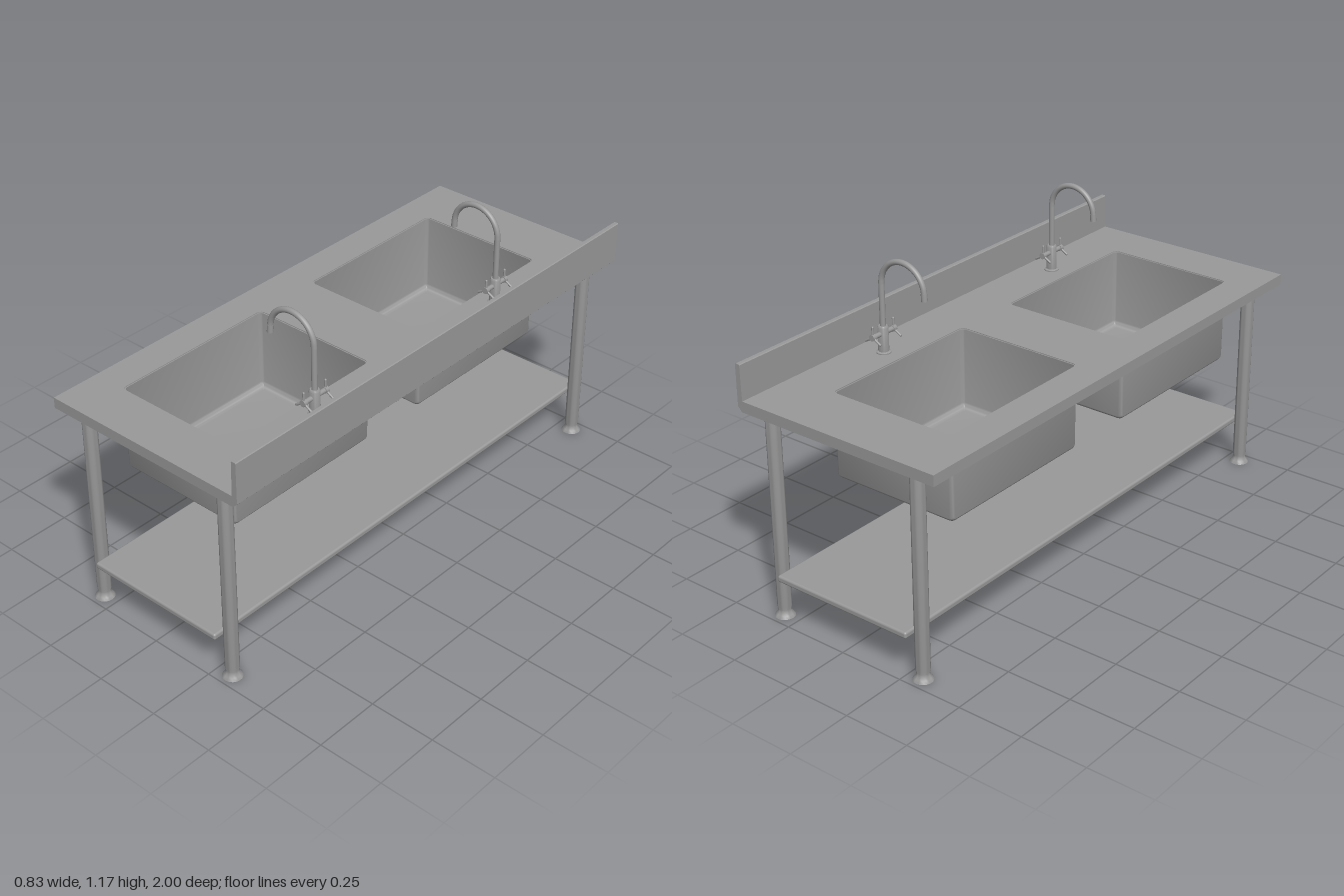
import * as THREE from 'three';
import { toCreasedNormals } from 'three/addons/utils/BufferGeometryUtils.js';
import { RoundedBoxGeometry } from 'three/addons/geometries/RoundedBoxGeometry.js';

// Dark steel
const steel = new THREE.MeshStandardMaterial({ color: 0x999999 });

const TOP = 0.804, UNDER = 0.764;
const BASIN = { x: -0.038, w: 0.51, d: 0.666, bottom: 0.486, r: 0.022, wall: 0.007 };
const BASIN_Z = [0.485, -0.438];
const FAUCET_Z = [0.51, -0.433];

function add(parent, name, geometry, x = 0, y = 0, z = 0) {
  const mesh = new THREE.Mesh(geometry, steel);
  mesh.name = name;
  mesh.position.set(x, y, z);
  parent.add(mesh);
  return mesh;
}

const lathe = (points, sides = 24) => toCreasedNormals(
  new THREE.LatheGeometry(points.map(([r, y]) => new THREE.Vector2(r, y)), sides), 0.6);

// Outline of a rounded rectangle, shrunk by inset
function roundedRect(w, d, r, inset, steps = 5) {
  const hw = w / 2 - inset, hd = d / 2 - inset, rad = Math.max(r - inset, 0.003);
  const corners = [[1, 1], [-1, 1], [-1, -1], [1, -1]];
  const points = [];
  corners.forEach(([sx, sy], c) => {
    for (let i = 0; i <= steps; i++) {
      const a = (c + i / steps) * Math.PI / 2;
      points.push(new THREE.Vector2(
        sx * (hw - rad) + rad * Math.cos(a), sy * (hd - rad) + rad * Math.sin(a)));
    }
  });
  return points;
}

// Hollow basin: sections run from outer floor, up over the rim, to inner floor
function basinGeometry() {
  const { w, d, bottom, r, wall } = BASIN;
  const sections = [];
  for (let i = 0; i <= 5; i++) {
    const a = i / 5 * Math.PI / 2;
    sections.push([r * (1 - Math.sin(a)), bottom + r * (1 - Math.cos(a))]);
  }
  const inner = sections.map(([inset, y]) => [inset + wall, y + wall]).reverse();
  sections.push([0, TOP - 0.003], [wall, TOP - 0.003], ...inner);

  const rings = sections.map(([inset, y]) =>
    roundedRect(w, d, r, inset).map(p => [p.x, y, p.y]));
  const n = rings[0].length;
  const position = rings.flat(2), index = [];
  for (let i = 0; i < rings.length - 1; i++) {
    for (let j = 0; j < n; j++) {
      const k = (j + 1) % n, a = i * n, b = a + n;
      index.push(a + j, b + j, b + k, a + j, b + k, a + k);
    }
  }
  // Floor caps
  const first = rings.length * n, last = (rings.length - 1) * n;
  position.push(0, bottom, 0, 0, bottom + wall, 0);
  for (let j = 0; j < n; j++) {
    const k = (j + 1) % n;
    index.push(first, j, k, first + 1, last + k, last + j);
  }
  const geometry = new THREE.BufferGeometry();
  geometry.setAttribute('position', new THREE.Float32BufferAttribute(position, 3));
  geometry.setIndex(index);
  return toCreasedNormals(geometry, 0.7);
}

// Worktop slab with two rounded openings
function worktopGeometry() {
  const shape = new THREE.Shape();
  shape.moveTo(-0.417, -1).lineTo(0.4, -1).lineTo(0.4, 1).lineTo(-0.417, 1).closePath();
  for (const z of BASIN_Z) {
    const points = roundedRect(BASIN.w, BASIN.d, BASIN.r, 0.003)
      .map(p => new THREE.Vector2(p.x + BASIN.x, p.y - z));
    shape.holes.push(new THREE.Path(points.reverse()));
  }
  const geometry = new THREE.ExtrudeGeometry(shape, { depth: TOP - UNDER, bevelEnabled: false });
  return geometry.rotateX(-Math.PI / 2).translate(0, UNDER, 0);
}

// Upstand with a chamfered lower edge
function backsplashGeometry() {
  const profile = [[0.396, UNDER], [0.4, UNDER], [0.417, 0.782], [0.417, 0.932],
    [0.414, 0.935], [0.401, 0.935], [0.398, 0.932], [0.396, TOP]];
  const shape = new THREE.Shape(profile.map(p => new THREE.Vector2(...p)));
  return new THREE.ExtrudeGeometry(shape, { depth: 2, bevelEnabled: false }).translate(0, 0, -1);
}

function createFaucet() {
  const faucet = new THREE.Group();
  faucet.name = 'faucet';
  const reach = 0.095, arcY = 1.061 - TOP;

  add(faucet, 'faucetBody', lathe([[0, 0], [0.026, 0], [0.026, 0.004], [0.019, 0.007],
    [0.019, 0.095], [0.016, 0.1], [0, 0.1]]));

  // Swan neck pipe
  const path = new THREE.CurvePath();
  path.add(new THREE.LineCurve3(new THREE.Vector3(0, 0.09, 0), new THREE.Vector3(0, arcY, 0)));
  const arc = [];
  for (let i = 0; i <= 16; i++) {
    const a = i / 16 * Math.PI * 0.98;
    arc.push(new THREE.Vector3(reach * (Math.cos(a) - 1), arcY + reach * Math.sin(a), 0));
  }
  path.add(new THREE.CatmullRomCurve3(arc));
  add(faucet, 'spout', new THREE.TubeGeometry(path, 60, 0.0105, 14));
  add(faucet, 'spoutTip', new THREE.CylinderGeometry(0.0112, 0.0112, 0.028, 16),
    -2 * reach, arcY - 0.005, 0).rotation.z = -0.06;

  // Two three-spoked handles on a cross bar
  const handleY = 0.072;
  add(faucet, 'handleBar', new THREE.CylinderGeometry(0.009, 0.009, 0.1, 14), 0, handleY, 0)
    .rotation.x = Math.PI / 2;
  for (const side of [-1, 1]) {
    const handle = new THREE.Group();
    handle.name = 'handle';
    handle.position.set(0, handleY, side * 0.052);
    add(handle, 'handleHub', new THREE.CylinderGeometry(0.012, 0.012, 0.014, 16))
      .rotation.x = Math.PI / 2;
    for (let i = 0; i < 3; i++) {
      const a = i * Math.PI * 2 / 3;
      add(handle, 'handleSpoke', new THREE.CapsuleGeometry(0.0045, 0.032, 4, 10),
        -0.021 * Math.sin(a), 0.021 * Math.cos(a), 0).rotation.z = a;
    }
    faucet.add(handle);
  }
  return faucet;
}

export function createModel() {
  const sinkTable = new THREE.Group();
  sinkTable.name = 'sinkTable';

  add(sinkTable, 'worktop', worktopGeometry());
  add(sinkTable, 'backsplash', backsplashGeometry());

  const basin = basinGeometry();
  for (const z of BASIN_Z) add(sinkTable, 'basin', basin, BASIN.x, 0, z);

  for (const z of FAUCET_Z) {
    const faucet = createFaucet();
    faucet.position.set(0.291, TOP, z);
    sinkTable.add(faucet);
  }

  // Round legs with flared feet
  const leg = lathe([[0, 0], [0.036, 0], [0.035, 0.003], [0.029, 0.01], [0.024, 0.019],
    [0.0225, 0.028], [0.0255, 0.042], [0.0255, UNDER + 0.005], [0, UNDER + 0.005]]);
  for (const x of [-0.308, 0.313]) {
    for (const z of [-0.95, 0.95]) add(sinkTable, 'leg', leg, x, 0, z);
  }

  add(sinkTable, 'lowerShelf', new RoundedBoxGeometry(0.57, 0.025, 2, 3, 0.008), 0.003, 0.176, 0);
  return sinkTable;
}
